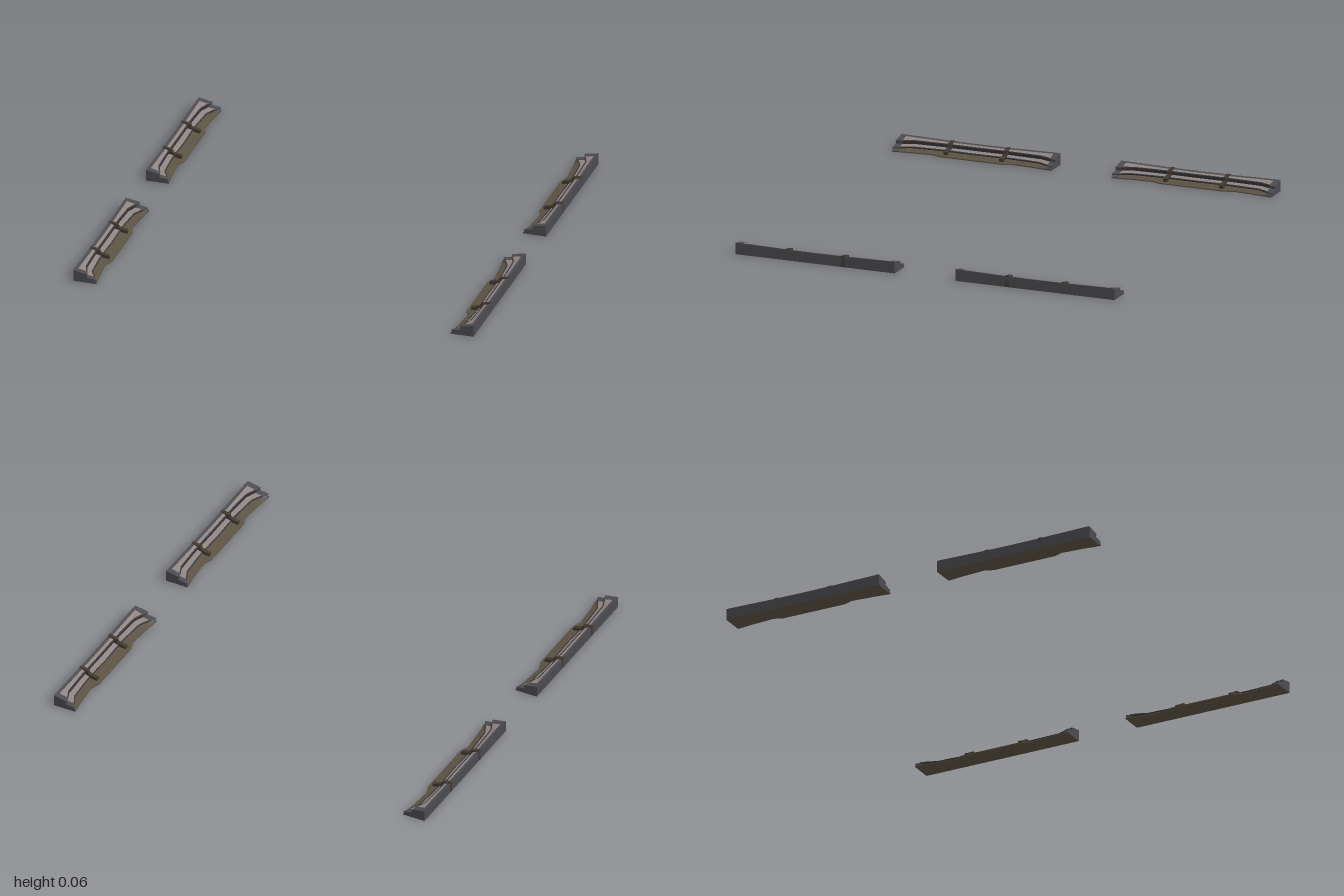
import * as THREE from 'three';

const mat = (name, color, side = THREE.FrontSide) => {
  const m = new THREE.MeshStandardMaterial({ color, side });
  m.name = name;
  return m;
};

// Half of the stations along a stand, from its middle outwards:
// [offset, rim height, upper tier depth, lower tier depth, apron depth]
const HALF = [
  [0, 0.052, 0.037, 0.066, 0.113],
  [0.165, 0.053, 0.036, 0.062, 0.113],
  [0.21, 0.054, 0.037, 0.064, 0.096],
  [0.33, 0.056, 0.042, 0.072, 0.105],
  [0.382, 0.057, 0.062, 0.098, 0.112],
  [0.413, 0.057, 0.07, 0.112, 0.115],
];
const STATIONS = [
  ...HALF.slice(1).reverse().map(([u, ...rest]) => [-u, ...rest]),
  ...HALF,
];

// Stepped cross-section, running from the outer wall inwards and down
const section = ([, top, upper, lower, apron]) => [
  [0, 0], [0, top], [0.015, top - 0.003],
  [upper - 0.007, 0.045], [upper, 0.043], [upper - 0.004, 0.027],
  [lower - 0.007, 0.022], [lower, 0.02], [lower - 0.004, 0.014],
  [apron, 0.005], [apron, 0],
];

// Surface between section points i and i + 1, over stations from..to
function strip(i, from, to) {
  const pos = [];
  for (let s = from; s < to; s++) {
    const [p, q] = [section(STATIONS[s]), section(STATIONS[s + 1])];
    const j = (i + 1) % p.length;
    const z0 = STATIONS[s][0], z1 = STATIONS[s + 1][0];
    const a = [...p[i], z0], b = [...q[i], z1], c = [...q[j], z1], d = [...p[j], z0];
    pos.push(...a, ...b, ...c, ...a, ...c, ...d);
  }
  const g = new THREE.BufferGeometry();
  g.setAttribute('position', new THREE.Float32BufferAttribute(pos, 3));
  g.computeVertexNormals();
  return g;
}

function createStand(m) {
  const stand = new THREE.Group();
  const add = (name, geometry, material, z = 0) => {
    const mesh = new THREE.Mesh(geometry, material);
    mesh.name = name;
    mesh.position.z = z;
    stand.add(mesh);
  };
  const last = STATIONS.length - 1;

  // Long surfaces; the short end spans take the wall colour
  const parts = [
    ['outerWall', m.wall], ['rim', m.wall], ['upperTread', m.tread],
    ['upperLip', m.trim], ['upperRiser', m.trim], ['lowerTread', m.tread],
    ['lowerLip', m.trim], ['lowerRiser', m.trim], ['apron', m.apron],
    ['apronEdge', m.apron], ['underside', m.apron],
  ];
  parts.forEach(([name, material], i) => {
    add(name, strip(i, 1, last - 1), material);
    const endMaterial = name === 'underside' ? m.apron : m.wall;
    add(name + 'End', strip(i, 0, 1), endMaterial);
    add(name + 'End', strip(i, last - 1, last), endMaterial);
  });

  // End walls
  const endShape = new THREE.Shape(section(STATIONS[0]).map(p => new THREE.Vector2(...p)));
  for (const s of [0, last]) add('endWall', new THREE.ShapeGeometry(endShape), m.wall, STATIONS[s][0]);

  // Stepped dividers across the tiers
  const profile = [[0, 0.002], [0, 0.056], [0.046, 0.049], [0.05, 0.033], [0.095, 0.022], [0.095, 0.002]];
  const divider = new THREE.ExtrudeGeometry(
    new THREE.Shape(profile.map(p => new THREE.Vector2(...p))),
    { depth: 0.02, bevelEnabled: false });
  for (const z of [-0.145, 0.145]) add('divider', divider, m.divider, z - 0.01);
  return stand;
}

export function createModel() {
  const m = {
    wall: mat('wall grey', 0x4b4b50, THREE.DoubleSide),
    tread: mat('tread grey', 0x8f8583),
    trim: mat('dark trim', 0x38363a, THREE.DoubleSide),
    apron: mat('apron brown', 0x5b5243),
    divider: mat('divider brown', 0x40382f),
  };
  const model = new THREE.Group();
  model.name = 'sideStands';

  // Two stands on each side, with the tiers facing the middle
  for (const [side, angle] of [['right', 0], ['left', Math.PI]]) {
    const row = new THREE.Group();
    row.name = side + 'Stands';
    row.rotation.y = angle;
    for (const z of [-0.57, 0.57]) {
      const stand = createStand(m);
      stand.name = 'stand';
      stand.position.set(-1, 0, z);
      row.add(stand);
    }
    model.add(row);
  }
  return model;
}
